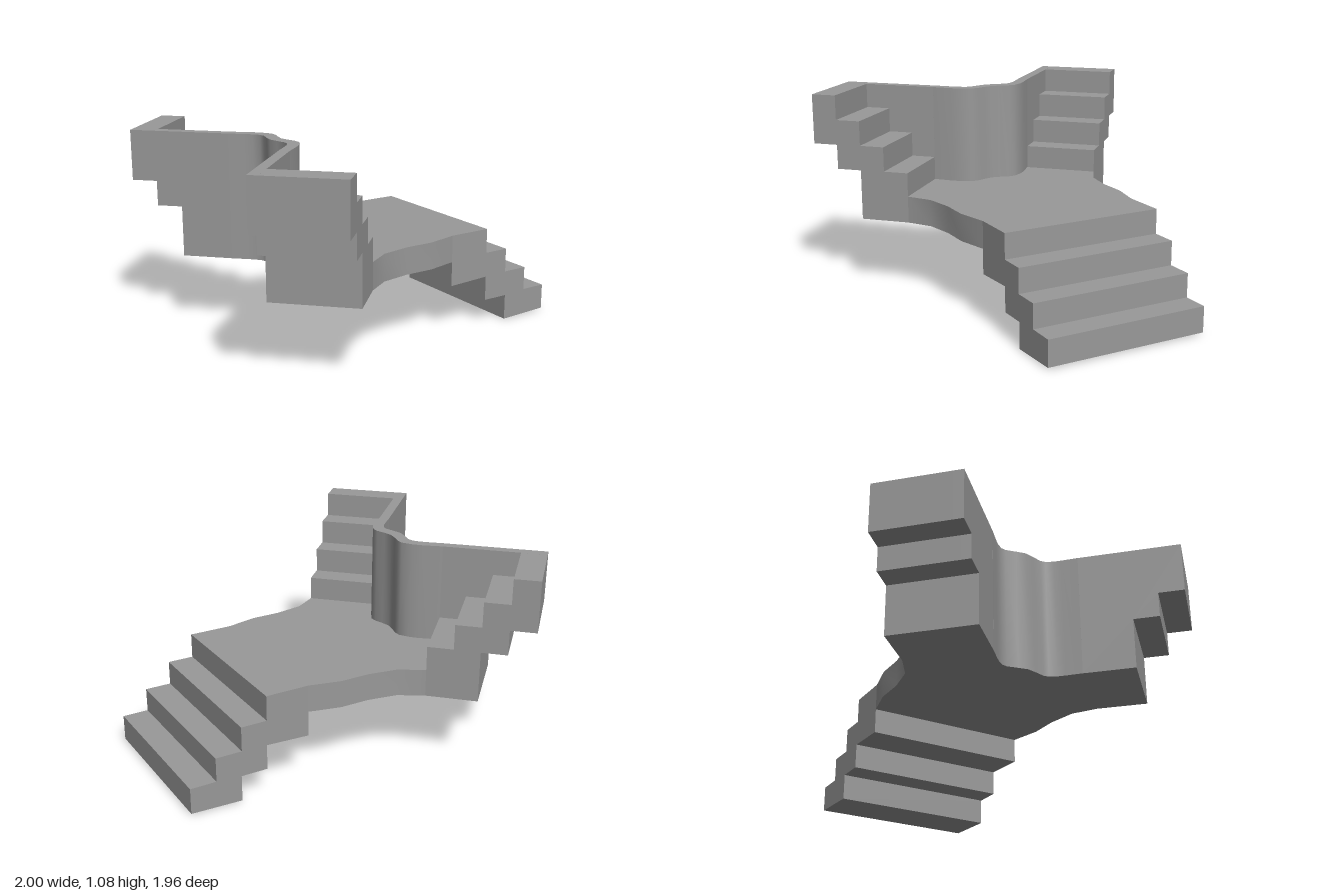
import * as THREE from 'three';
import { toCreasedNormals } from 'three/addons/utils/BufferGeometryUtils.js';

const stone = new THREE.MeshStandardMaterial({ color: 0x999999 });
stone.name = 'grey stone';

function makeMesh(name, geometry) {
  const mesh = new THREE.Mesh(toCreasedNormals(geometry, 0.6), stone);
  mesh.name = name;
  return mesh;
}

function extrude(points, depth) {
  const shape = new THREE.Shape(points.map(([x, y]) => new THREE.Vector2(x, y)));
  return new THREE.ExtrudeGeometry(shape, { depth, bevelEnabled: false });
}

// Upright prism from a plan outline of [x, z] points
function prism(name, plan, y0, y1) {
  const g = extrude(plan.map(([x, z]) => [x, -z]), y1 - y0);
  g.rotateX(-Math.PI / 2);
  g.translate(0, y0, 0);
  return makeMesh(name, g);
}

// Side profile extruded along z between two depths
function slab(name, profile, z0, z1) {
  const g = extrude(profile, z1 - z0);
  g.translate(0, 0, z0);
  return makeMesh(name, g);
}

// Half outline at negative z, continued by its mirror image
const mirrored = (half) => [...half, ...half.filter(([, z]) => z !== 0).reverse().map(([x, z]) => [x, -z])];

export function createModel() {
  const model = new THREE.Group();
  model.name = 'forkedStaircase';

  // Landing where the three flights meet
  const wallInner = [[-0.576, -0.304], [-0.49, -0.23], [-0.455, -0.19], [-0.425, -0.14], [-0.425, -0.1], [-0.44, -0.05], [-0.45, 0]];
  const wallOuter = [[-0.615, -0.265], [-0.55, -0.205], [-0.52, -0.175], [-0.495, -0.14], [-0.49, -0.11], [-0.505, -0.05], [-0.515, 0]];
  const outer = [[0.33, -0.447], [0.16, -0.487], [0, -0.487], [-0.16, -0.515], [-0.285, -0.595]];
  model.add(prism('landing', mirrored([...outer, ...wallInner]), 0.4, 0.547));

  // Curved part of the parapet behind the landing
  const inner = mirrored(wallInner);
  model.add(prism('curvedParapet', [...inner, ...mirrored(wallOuter).reverse()], 0.4, 1.083));

  // Lower flight
  model.add(slab('lowerFlight', [
    [0.33, 0.265], [0.57, 0.275], [0.57, 0.14], [0.715, 0.14], [0.715, 0], [0.995, 0.01],
    [0.995, 0.15], [0.853, 0.15], [0.853, 0.28], [0.71, 0.28], [0.71, 0.412], [0.568, 0.412],
    [0.568, 0.547], [0.33, 0.547],
  ], -0.447, 0.447));

  // Two upper flights at 45 degrees, each with a straight parapet on its inner side
  const run = 0.1365, half = 0.233, thick = 0.055;
  const underside = [[0, 0.4], [2 * run, 0.4], [2 * run, 0.675], [3 * run, 0.675], [3 * run, 0.81], [4 * run, 0.81]];
  const steps = [];
  for (let i = 3; i >= 0; i--) {
    const y = 0.677 + i * 0.1353;
    steps.push([(i + 1) * run, y], [i * run, y]);
  }
  for (const side of [-1, 1]) {
    const arm = new THREE.Group();
    arm.name = side < 0 ? 'rightUpperFlight' : 'leftUpperFlight';
    arm.position.set(-0.45, 0, side * 0.43);
    arm.rotation.y = -side * Math.PI * 0.75;
    const edge = side * (half - thick);
    arm.add(slab('steps', [...underside, ...steps], Math.min(-side * half, edge), Math.max(-side * half, edge)));
    arm.add(slab('straightParapet', [...underside, [4 * run, 1.083], [0, 1.083]],
      Math.min(edge, side * half), Math.max(edge, side * half)));
    model.add(arm);
  }
  return model;
}
